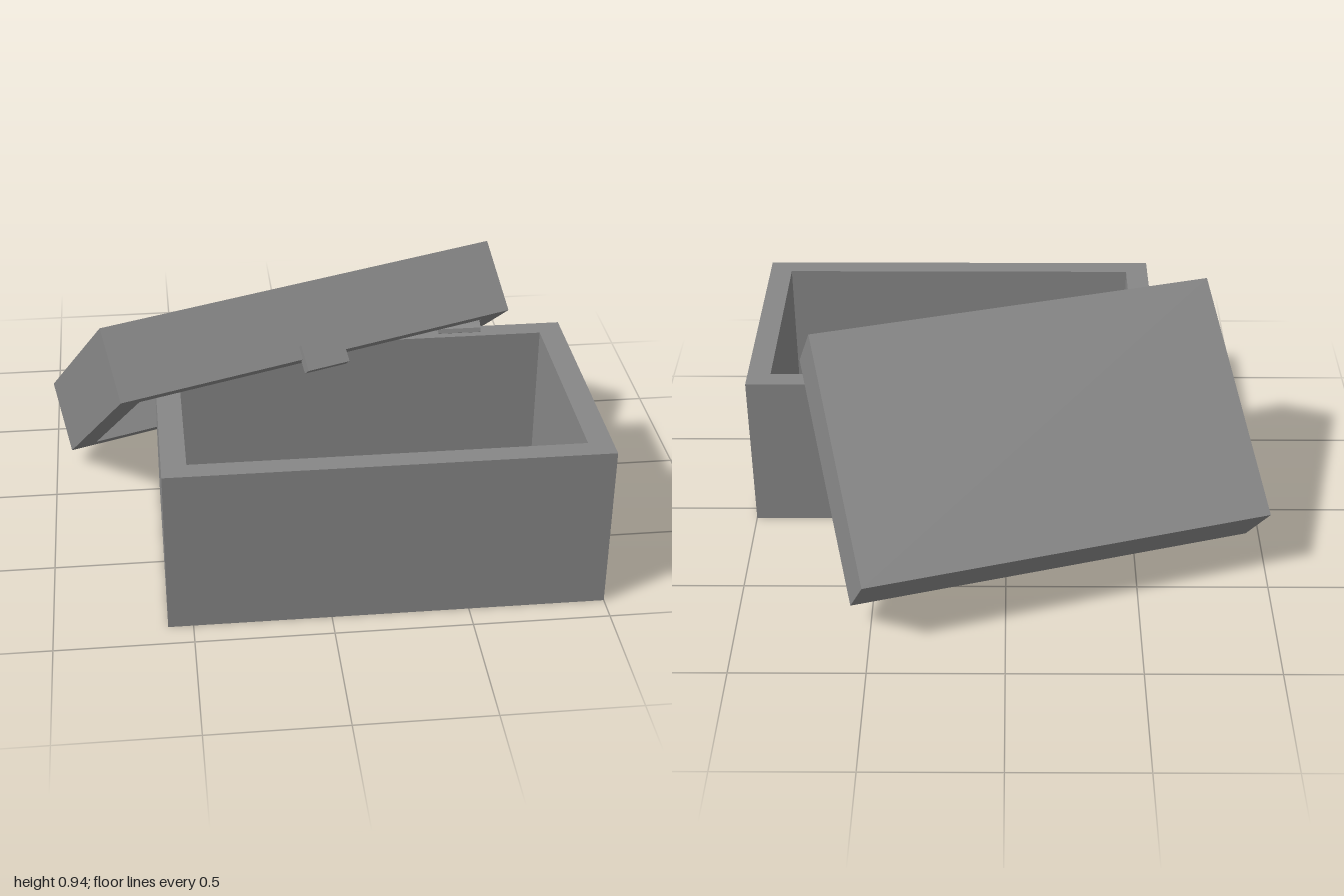
import * as THREE from 'three';

const material = new THREE.MeshStandardMaterial({ color: 0x878787, flatShading: true });

function addMesh(parent, name, geometry, x, y, z) {
  const mesh = new THREE.Mesh(geometry, material);
  mesh.name = name;
  mesh.position.set(x, y, z);
  parent.add(mesh);
  return mesh;
}

// Open-topped hollow box standing on y = 0, skinned through four rectangular rings
function openBox(width, height, depth, wallX, wallZ, floor) {
  const rings = [
    [width / 2, 0, depth / 2],
    [width / 2, height, depth / 2],
    [width / 2 - wallX, height, depth / 2 - wallZ],
    [width / 2 - wallX, floor, depth / 2 - wallZ],
  ];
  const positions = [];
  for (const [x, y, z] of rings) positions.push(x, y, z, x, y, -z, -x, y, -z, -x, y, z);

  const index = [0, 2, 1, 0, 3, 2, 12, 13, 14, 12, 14, 15]; // underside and inner floor
  for (let r = 0; r < 3; r++) {
    for (let i = 0; i < 4; i++) {
      const a = r * 4 + i;
      const b = r * 4 + (i + 1) % 4;
      index.push(a, b, b + 4, a, b + 4, a + 4);
    }
  }
  const indexed = new THREE.BufferGeometry();
  indexed.setAttribute('position', new THREE.Float32BufferAttribute(positions, 3));
  indexed.setIndex(index);
  const geometry = indexed.toNonIndexed();
  geometry.computeVertexNormals();
  return geometry;
}

export function createModel() {
  const model = new THREE.Group();
  model.name = 'openChest';
  const width = 1.591, depth = 0.97, wallX = 0.089, wallZ = 0.077, thickness = 0.08;

  // Chest body
  addMesh(model, 'chestBody', openBox(width, 0.635, depth, wallX, wallZ, thickness), 0.2045, 0, 0.42);

  // Hinge barrels along the back rim
  for (const x of [-0.16, 0.6]) {
    const barrel = new THREE.CylinderGeometry(0.033, 0.033, 0.165, 12).rotateZ(Math.PI / 2);
    addMesh(model, 'hinge', barrel, x, 0.636, -0.05);
  }

  // Displaced lid: origin at the centre of its rim, tipped back and twisted
  const lid = new THREE.Group();
  lid.name = 'lid';
  const xAxis = new THREE.Vector3(1.51, 0.037, -0.498).normalize();
  const zAxis = new THREE.Vector3(0.22, 0.63, 0.71);
  const yAxis = zAxis.cross(xAxis).normalize();
  lid.quaternion.setFromRotationMatrix(
    new THREE.Matrix4().makeBasis(xAxis, yAxis, xAxis.clone().cross(yAxis)));
  lid.position.set(-0.074, 0.389, -0.13);
  model.add(lid);

  const lidHeight = 0.285;
  const shell = openBox(width, lidHeight, depth, wallX, wallZ, thickness).rotateX(Math.PI);
  addMesh(lid, 'lidShell', shell, 0, lidHeight, 0);

  // Latch straddling the lid's front lower edge
  addMesh(lid, 'latch', new THREE.BoxGeometry(0.168, 0.1, 0.045), 0.006, 0, depth / 2);

  return model;
}
